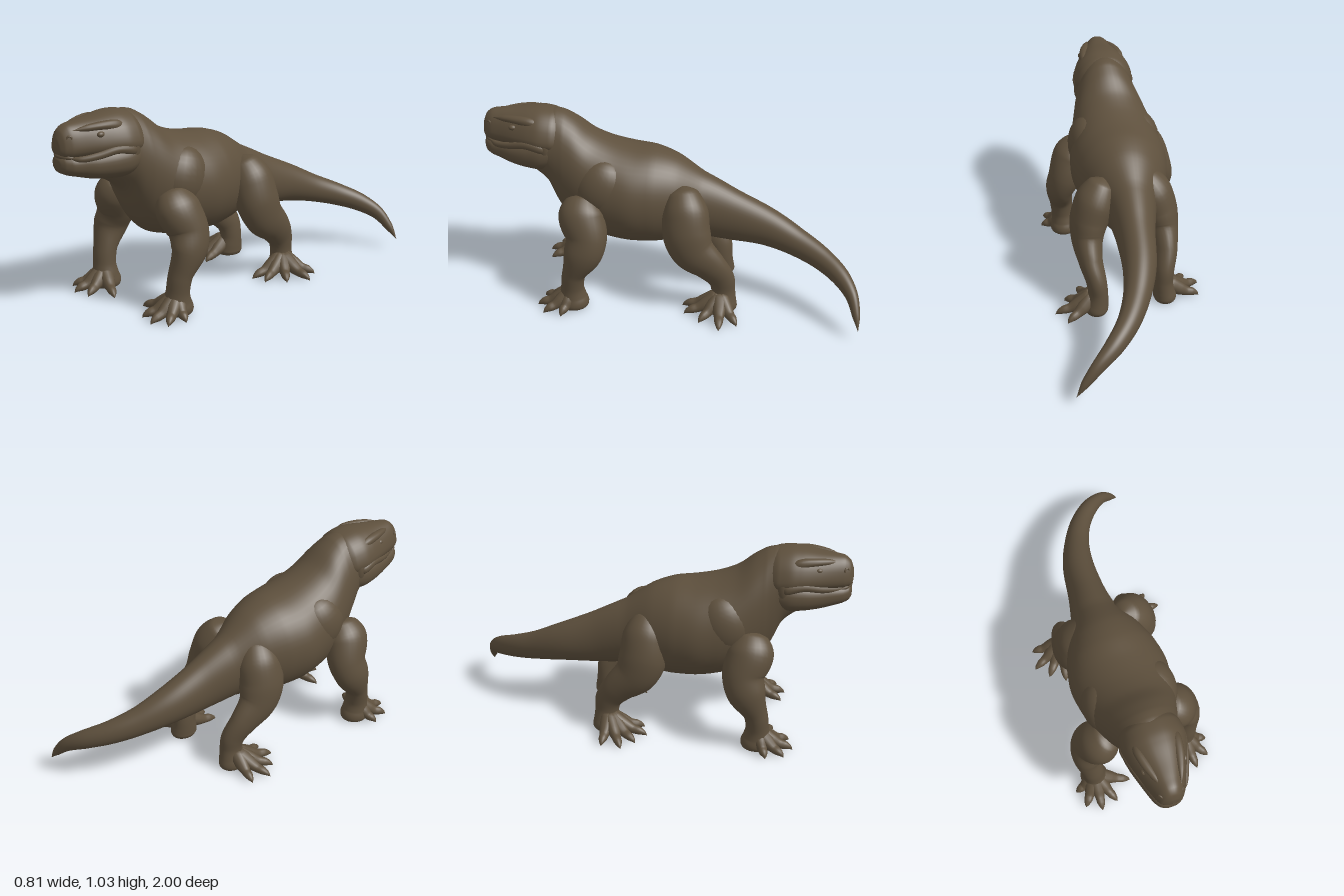
import * as THREE from 'three';

const hide = new THREE.MeshStandardMaterial({ color: 0x5e503d });
hide.name = 'brown hide';
const Y = new THREE.Vector3(0, 1, 0), Z = new THREE.Vector3(0, 0, 1);

// Smooth skin through sections [x, y, z, halfWidth, halfHeight].
// upright(p) = 1 keeps rings square to z, 0 keeps them square to the path.
function loft(name, sections, { ref = Y, sides = 28, steps = 6, upright = () => 0, power = 2, taper = 0 } = {}) {
  const path = new THREE.CatmullRomCurve3(sections.map(s => new THREE.Vector3(s[0], s[1], s[2])));
  const size = new THREE.CatmullRomCurve3(sections.map(s => new THREE.Vector3(s[3], s[4], 0)));
  const n = (sections.length - 1) * steps, pos = [], idx = [];
  for (let i = 0; i <= n; i++) {
    const p = path.getPoint(i / n), r = size.getPoint(i / n);
    const t = path.getTangent(i / n).lerp(Z, upright(p)).normalize();
    const side = new THREE.Vector3().crossVectors(ref, t).normalize();
    const up = new THREE.Vector3().crossVectors(t, side);
    for (let j = 0; j < sides; j++) {
      const a = j / sides * Math.PI * 2;
      const c = Math.sign(Math.cos(a)) * Math.abs(Math.cos(a)) ** (2 / power);
      const s = Math.sign(Math.sin(a)) * Math.abs(Math.sin(a)) ** (2 / power);
      const v = p.clone()
        .addScaledVector(side, Math.max(r.x, 0.0004) * c * (1 - taper * s))
        .addScaledVector(up, Math.max(r.y, 0.0004) * s);
      pos.push(v.x, v.y, v.z);
      if (i < n) {
        const k = i * sides + j, l = i * sides + (j + 1) % sides;
        idx.push(k, l, k + sides, l, l + sides, k + sides);
      }
    }
  }
  const g = new THREE.BufferGeometry();
  g.setAttribute('position', new THREE.Float32BufferAttribute(pos, 3));
  g.setIndex(idx);
  g.computeVertexNormals();
  const m = new THREE.Mesh(g, hide);
  m.name = name;
  return m;
}

function ellipsoid(name, x, y, z, rx, ry, rz, tilt = 0) {
  const m = new THREE.Mesh(new THREE.SphereGeometry(1, 24, 16), hide);
  m.name = name;
  m.position.set(x, y, z);
  m.scale.set(rx, ry, rz);
  m.rotation.x = tilt;
  return m;
}

// Leg with a fan of clawed toes; side -1 mirrors it about the axis and shifts it forward
function leg(name, sections, palm, tips, side, axis, shift) {
  const g = new THREE.Group();
  g.name = (side > 0 ? 'left' : 'right') + name;
  const place = ([x, y, z, ...r]) => [axis + side * (x - axis), y, z + (side < 0 ? shift : 0), ...r];
  g.add(loft('limb', sections.map(place), { ref: Z }));
  for (const [tx, tz] of tips) {
    const at = (f, y, r) => place([palm[0] + (tx - palm[0]) * f, y, palm[1] + (tz - palm[1]) * f, r, r]);
    g.add(loft('toe', [
      at(0, 0.1, 0), at(0.1, 0.092, 0.042), at(0.4, 0.06, 0.036), at(0.62, 0.042, 0.025),
      at(0.78, 0.036, 0.022), at(0.92, 0.026, 0.012), at(1, 0.014, 0),
    ], { sides: 12, steps: 4 }));
  }
  return g;
}

export function createModel() {
  const model = new THREE.Group();
  model.name = 'reptile';

  // Tail, torso, neck and throat in one skin
  model.add(loft('body', [
    [0.402, 0.068, -0.99, 0, 0], [0.357, 0.132, -0.977, 0.02, 0.022], [0.288, 0.208, -0.95, 0.032, 0.037],
    [0.202, 0.265, -0.89, 0.046, 0.051], [0.113, 0.315, -0.788, 0.056, 0.063], [0.045, 0.365, -0.655, 0.068, 0.078],
    [0, 0.42, -0.5, 0.085, 0.105], [-0.02, 0.475, -0.3, 0.102, 0.145], [-0.03, 0.525, -0.15, 0.13, 0.178],
    [-0.03, 0.56, -0.02, 0.195, 0.235], [-0.03, 0.574, 0.1, 0.24, 0.262], [-0.03, 0.582, 0.22, 0.26, 0.268],
    [-0.03, 0.602, 0.33, 0.248, 0.275], [-0.03, 0.633, 0.42, 0.228, 0.285], [-0.027, 0.682, 0.5, 0.202, 0.3],
    [-0.025, 0.731, 0.56, 0.18, 0.289], [-0.025, 0.778, 0.605, 0.163, 0.255], [-0.025, 0.828, 0.65, 0.15, 0.2],
    [-0.025, 0.845, 0.71, 0.13, 0.162], [-0.026, 0.83, 0.77, 0.09, 0.11], [-0.028, 0.83, 0.8, 0, 0],
  ], { sides: 48, upright: p => THREE.MathUtils.smoothstep(p.z, -0.5, 0) }));

  // Skull above the mouth line and jaw below it
  const head = new THREE.Group();
  head.name = 'head';
  model.add(head);
  head.add(loft('skull', [
    [-0.025, 0.92, 0.53, 0, 0], [-0.025, 0.92, 0.57, 0.115, 0.08], [-0.025, 0.928, 0.62, 0.146, 0.104],
    [-0.026, 0.935, 0.68, 0.152, 0.106], [-0.028, 0.938, 0.74, 0.142, 0.1], [-0.032, 0.934, 0.82, 0.118, 0.092],
    [-0.038, 0.93, 0.9, 0.09, 0.086], [-0.04, 0.927, 0.95, 0.072, 0.08], [-0.042, 0.92, 0.98, 0.054, 0.064],
    [-0.042, 0.91, 0.995, 0.03, 0.036], [-0.042, 0.91, 1, 0, 0],
  ], { sides: 40, upright: () => 1, power: 2.5, taper: 0.28 }));
  head.add(loft('jaw', [
    [-0.025, 0.83, 0.55, 0, 0], [-0.025, 0.828, 0.58, 0.12, 0.07], [-0.025, 0.822, 0.62, 0.154, 0.092],
    [-0.025, 0.812, 0.68, 0.161, 0.1], [-0.028, 0.806, 0.76, 0.146, 0.09], [-0.032, 0.805, 0.84, 0.12, 0.076],
    [-0.038, 0.81, 0.9, 0.097, 0.064], [-0.04, 0.814, 0.95, 0.078, 0.053], [-0.042, 0.818, 0.98, 0.055, 0.042],
    [-0.042, 0.82, 0.993, 0.028, 0.024], [-0.042, 0.82, 0.996, 0, 0],
  ], { sides: 40, upright: () => 1, power: 2.3 }));
  head.add(loft('frontLip', [
    [-0.115, 0.856, 0.935, 0, 0], [-0.09, 0.858, 0.963, 0.011, 0.011], [-0.042, 0.862, 0.985, 0.012, 0.012],
    [0.006, 0.858, 0.963, 0.011, 0.011], [0.035, 0.856, 0.935, 0, 0],
  ], { sides: 12 }));

  for (const s of [1, -1]) {
    const x = o => -0.027 + s * o;
    // Lip, brow, eye, nostril and jowl
    head.add(loft('lip', [
      [-0.041 + s * 0.045, 0.858, 0.965, 0, 0], [x(0.075), 0.85, 0.92, 0.012, 0.015],
      [x(0.112), 0.86, 0.84, 0.014, 0.018], [x(0.14), 0.878, 0.75, 0.015, 0.02], [x(0.154), 0.865, 0.67, 0.014, 0.022],
      [x(0.14), 0.85, 0.63, 0, 0],
    ], { sides: 12 }));
    head.add(loft('brow', [
      [x(0.042), 0.985, 0.94, 0, 0], [x(0.065), 0.991, 0.87, 0.017, 0.016], [x(0.084), 0.994, 0.8, 0.024, 0.021],
      [x(0.097), 0.987, 0.73, 0.024, 0.026], [x(0.1), 0.96, 0.64, 0, 0],
    ], { sides: 16 }));
    head.add(ellipsoid('eye', x(0.101), 0.958, 0.82, 0.015, 0.014, 0.02));
    const nostril = new THREE.Mesh(new THREE.TorusGeometry(0.012, 0.005, 8, 16), hide);
    nostril.name = 'nostril';
    nostril.position.set(-0.041 + s * 0.056, 0.95, 0.958);
    nostril.rotation.y = s * 0.95;
    head.add(nostril);
    head.add(ellipsoid('jowl', x(0.105), 0.86, 0.65, 0.056, 0.095, 0.045));

    // Shoulder muscle over the ribs
    model.add(ellipsoid('shoulder', x(0.135), 0.655, 0.36, 0.115, 0.165, 0.15, -0.25));

    model.add(leg('FrontLeg', [
      [0.13, 0.635, 0.46, 0, 0], [0.148, 0.608, 0.458, 0.068, 0.08], [0.195, 0.53, 0.455, 0.1, 0.12],
      [0.235, 0.43, 0.425, 0.092, 0.108], [0.265, 0.34, 0.445, 0.077, 0.1], [0.255, 0.22, 0.495, 0.063, 0.062],
      [0.248, 0.14, 0.507, 0.06, 0.06], [0.243, 0.08, 0.508, 0.068, 0.072], [0.243, 0.04, 0.505, 0.075, 0.082],
      [0.243, 0.018, 0.505, 0.067, 0.072], [0.243, 0.014, 0.505, 0, 0],
    ], [0.243, 0.515], [[0.365, 0.555], [0.342, 0.65], [0.262, 0.695], [0.17, 0.675], [0.065, 0.585]], s, -0.0225, 0.045));

    // The right hind foot is turned further forward than the left
    const hindTips = s > 0
      ? [[0.35, -0.37], [0.402, -0.28], [0.34, -0.17], [0.26, -0.085], [0.18, -0.07]]
      : [[0.37, -0.295], [0.388, -0.19], [0.325, -0.12], [0.245, -0.065], [0.16, -0.085]];
    model.add(leg('HindLeg', [
      [0.09, 0.69, -0.05, 0, 0], [0.107, 0.655, -0.06, 0.072, 0.078], [0.153, 0.56, -0.08, 0.106, 0.12],
      [0.187, 0.46, -0.09, 0.1, 0.125], [0.202, 0.37, -0.125, 0.084, 0.115], [0.2, 0.285, -0.21, 0.064, 0.09],
      [0.182, 0.2, -0.272, 0.054, 0.072], [0.175, 0.13, -0.285, 0.052, 0.063], [0.18, 0.075, -0.285, 0.058, 0.07],
      [0.185, 0.04, -0.285, 0.062, 0.075], [0.185, 0.018, -0.285, 0.055, 0.065], [0.185, 0.014, -0.285, 0, 0],
    ], [0.2, -0.27], hindTips, s, -0.003, 0.04));
  }
  return model;
}
